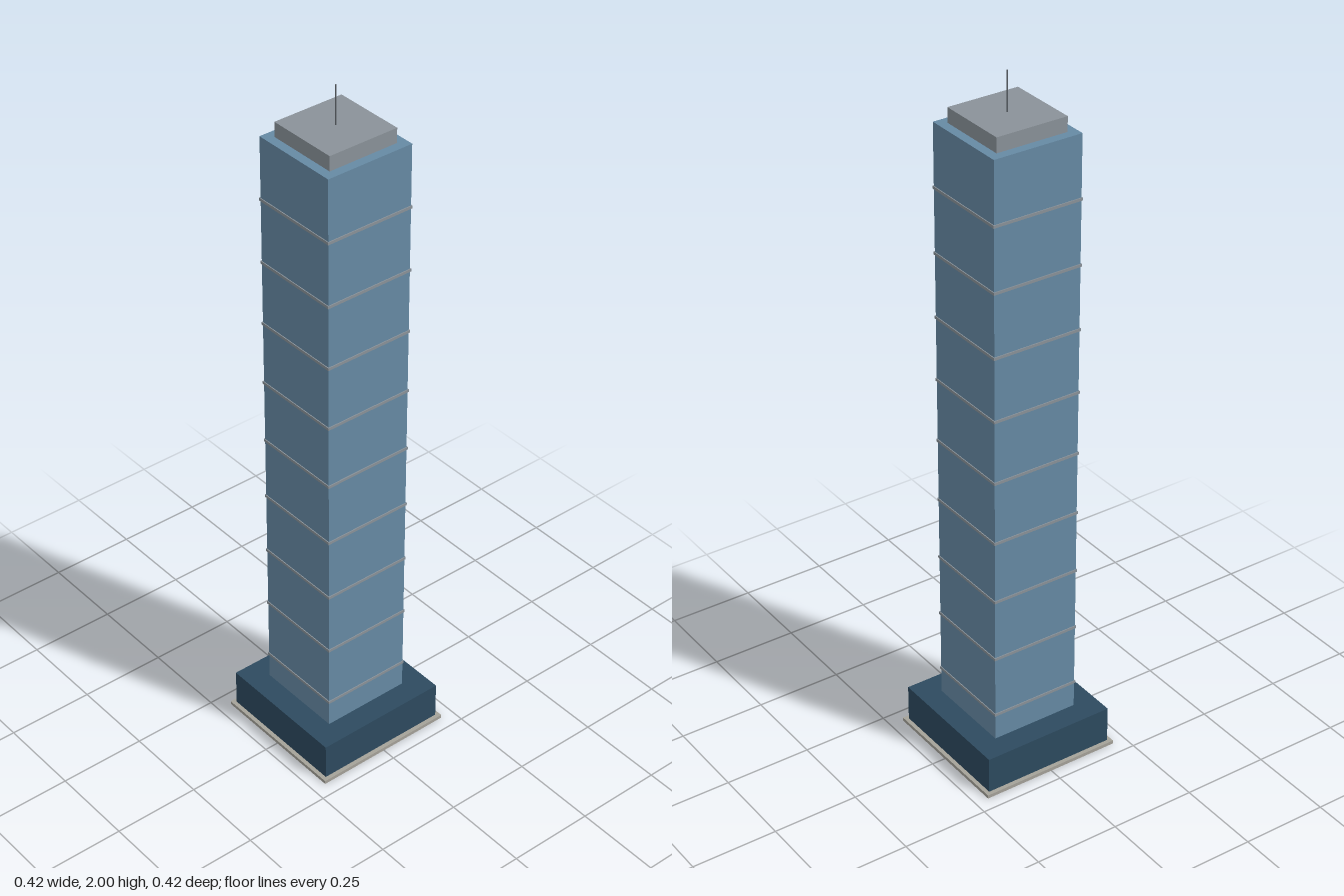
import * as THREE from 'three';

const material = (name, color) => {
  const m = new THREE.MeshStandardMaterial({ color });
  m.name = name;
  return m;
};

export function createModel() {
  const glass = material('blue glass', 0x668aa4);
  const darkGlass = material('dark podium glass', 0x2d4a5f);
  const stone = material('stone', 0xa5a299);
  const metal = material('grey metal', 0x8a9299);
  const mastMetal = material('mast metal', 0x5c6268);

  const tower = new THREE.Group();
  tower.name = 'skyscraper';

  // Square block from y0 to y1, centred on the axis
  const block = (name, width, y0, y1, mat) => {
    const mesh = new THREE.Mesh(new THREE.BoxGeometry(width, y1 - y0, width), mat);
    mesh.position.y = (y0 + y1) / 2;
    mesh.name = name;
    tower.add(mesh);
  };

  block('plinth', 0.42, 0, 0.01, stone);
  block('podium', 0.396, 0.01, 0.118, darkGlass);
  block('shaft', 0.262, 0.118, 1.848, glass);
  block('roofCap', 0.21, 1.848, 1.89, metal);

  // Thin ledges around the shaft
  for (let i = 0; i < 9; i++) {
    const y = 0.198 + i * 0.184;
    block(`ledge${i + 1}`, 0.267, y - 0.004, y + 0.004, metal);
  }

  // Rooftop mast
  const mast = new THREE.Mesh(new THREE.CylinderGeometry(0.002, 0.002, 0.11, 8), mastMetal);
  mast.position.y = 1.945;
  mast.name = 'mast';
  tower.add(mast);

  return tower;
}
